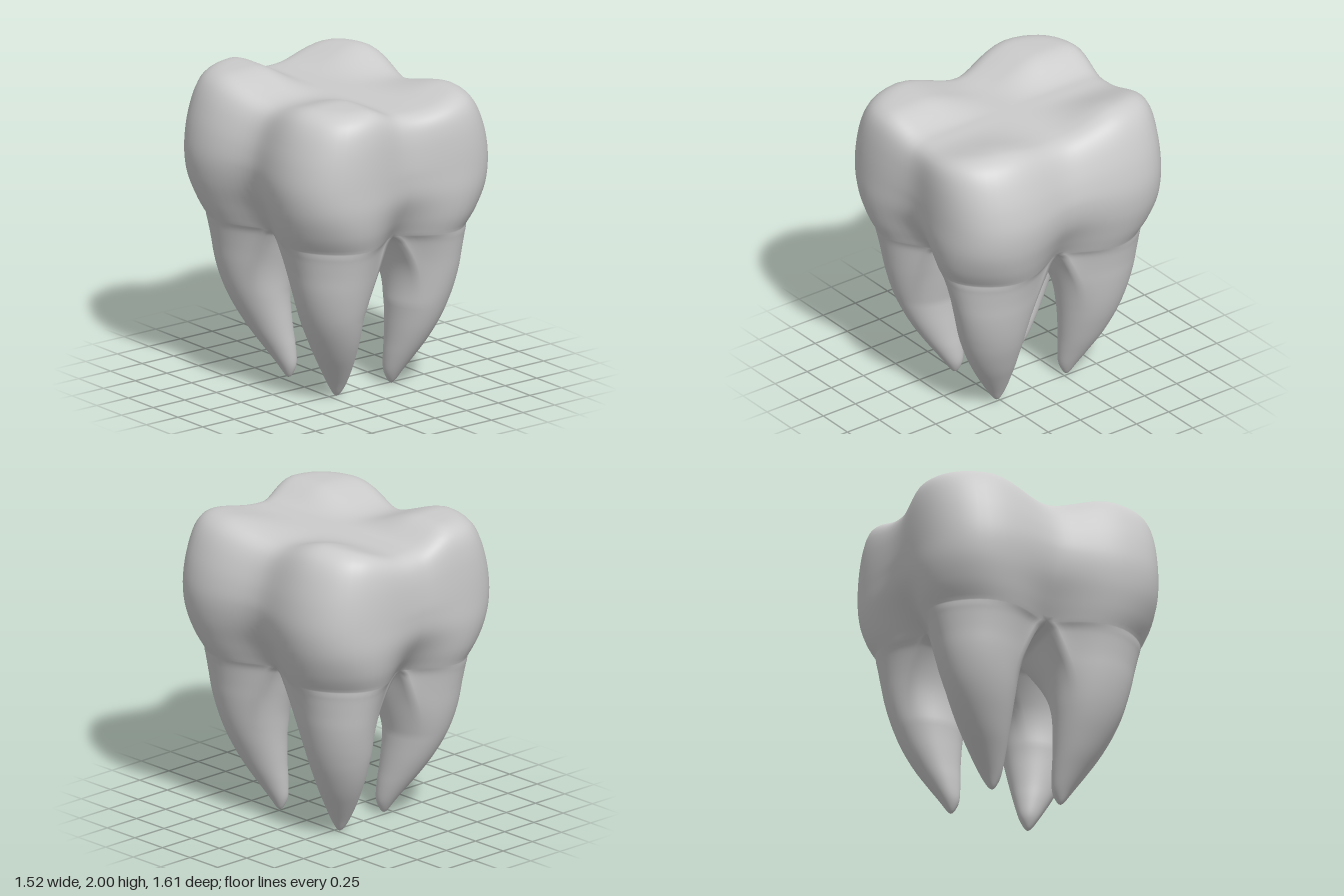
import * as THREE from 'three';
import { mergeVertices } from 'three/addons/utils/BufferGeometryUtils.js';

const K = 24; // columns per quarter of the crown
const curve = (pts) =>
  new THREE.CatmullRomCurve3(pts.map((p) => new THREE.Vector3(...p)), false, 'catmullrom', 0.5);
const smooth = THREE.MathUtils.smoothstep;
const lerp = THREE.MathUtils.lerp;

// Crown, from the middle of the chewing surface down to the fork: [x extent, y, z extent, fork blend]
const CROWN = [
  [0, 2, 0, 0], [0.16, 2, 0.2, 0], [0.32, 2, 0.4, 0], [0.45, 2, 0.57, 0],
  [0.54, 1.992, 0.67, 0], [0.605, 1.96, 0.73, 0], [0.655, 1.9, 0.767, 0], [0.7, 1.8, 0.788, 0],
  [0.74, 1.66, 0.798, 0], [0.76, 1.5, 0.8, 0.02], [0.745, 1.35, 0.797, 0.17],
  [0.705, 1.2, 0.775, 0.6], [0.665, 1.08, 0.742, 1],
];
// Root, from the fork to the tip: [outer x, y, outer z, inner x, inner z, crown blend]
const ROOT = [
  [0.665, 1.08, 0.742, 0, 0, 1], [0.652, 1.045, 0.731, 0.036, 0.036, 0.96],
  [0.638, 1.0, 0.717, 0.056, 0.054, 0.86], [0.613, 0.9, 0.69, 0.085, 0.082, 0.58],
  [0.592, 0.8, 0.665, 0.11, 0.11, 0.32], [0.567, 0.7, 0.638, 0.128, 0.133, 0.14],
  [0.537, 0.6, 0.608, 0.14, 0.15, 0.04], [0.5, 0.5, 0.572, 0.147, 0.164, 0],
  [0.455, 0.4, 0.528, 0.15, 0.175, 0], [0.405, 0.3, 0.474, 0.152, 0.185, 0],
  [0.347, 0.2, 0.411, 0.153, 0.193, 0], [0.282, 0.09, 0.337, 0.163, 0.207, 0],
  [0.24, 0.02, 0.288, 0.193, 0.238, 0], [0.218, 0, 0.262, 0.218, 0.262, 0],
];
const crownSize = curve(CROWN.map((r) => [r[0], r[1], r[2]]));
const crownBlend = curve(CROWN.map((r) => [r[3], 0, 0]));
const rootOuter = curve(ROOT.map((r) => [r[0], r[1], r[2]]));
const rootInner = curve(ROOT.map((r) => [r[3], r[5], r[4]]));

// Unit quarter of the outline, pinched at its sides: boxy on the crown (e = 0), rounder at the fork (e = 1)
function quarter(t, e, sx, sz) {
  const a = (t * Math.PI) / 2, c = Math.cos(a), s = Math.sin(a);
  const n = lerp(4, 2.6, e);
  const side = t < 0.5 ? (sx < 0 ? 0.13 : 0.11) : sz < 0 ? 0.035 : 0.085;
  const pinch = 1 - lerp(side, 0.28, e) * Math.cos(2 * a) ** 4;
  const r = (lerp(1.03, 1.08, e) * pinch) / (c ** n + Math.abs(s) ** n) ** (1 / n);
  return [t === 1 ? 0 : c * r, s * r];
}

// Height of the chewing surface: four cusps parted by a cross-shaped groove
function cuspHeight(x, z, sx, sz) {
  const across = sx < 0 ? smooth(-x, 0.01, 0.29) : smooth(x, 0.08, 0.53);
  const top = sz < 0 ? 2.0 : sx < 0 ? 1.983 : 1.96;
  return 1.89 + (top - 1.89) * across * smooth(Math.abs(z), 0, 0.45);
}

function crownPoint(u, t, sx, sz) {
  const size = crownSize.getPoint(u);
  const q = quarter(t, THREE.MathUtils.clamp(crownBlend.getPoint(u).x, 0, 1), sx, sz);
  const x = sx * size.x * q[0], z = sz * size.z * q[1];
  let y = size.y;
  if (y > 1.5) y = 1.5 + ((y - 1.5) * (cuspHeight(x, z, sx, sz) - 1.5)) / 0.5;
  return [x, y, z];
}

// t runs 0..1 along the outside of the root and 1..2 back along its inside
function rootPoint(u, t, sx, sz) {
  const o = rootOuter.getPoint(u), i = rootInner.getPoint(u);
  const w = THREE.MathUtils.clamp(i.y, 0, 1);
  const phi = -Math.PI / 4 + Math.PI * t;
  const round = [0.5 + 0.5 * Math.cos(phi), 0.5 + 0.5 * Math.sin(phi)];
  const mid = quarter(0, 1, sx, sz)[0];
  let q, y = o.y;
  if (t <= 1) q = quarter(t, 1, sx, sz);
  else {
    q = t < 1.5 ? [0, mid * (3 - 2 * t)] : [mid * (2 * t - 3), 0];
    y -= 0.055 * w * Math.sin((t - 1) * Math.PI);
  }
  // The arch between the roots sits a little to the left
  const arch = Math.sin(Math.PI * THREE.MathUtils.clamp((1.08 - o.y) / 0.5, 0, 1));
  const ix = i.x + sx * 0.025 * arch;
  const px = lerp(ix, o.x, lerp(round[0], q[0], w));
  const pz = lerp(i.z, o.z, lerp(round[1], q[1], w));
  // Tips lean left, and the right back root curls inwards
  const low = smooth(0.8 - o.y, 0, 0.8);
  const curl = sz > 0 ? 0 : sx < 0 ? -0.042 : 0.018;
  return [sx * px + 0.015 * low, y, sz * (pz + curl * low)];
}

// Adds a grid of faces for one quarter, mirrored by the signs
function addGrid(out, point, rows, cols, tMax, sx, sz) {
  const base = out.pos.length / 3;
  for (let j = 0; j <= rows; j++)
    for (let i = 0; i <= cols; i++) {
      const t = (i / cols) * tMax;
      out.pos.push(...point(j / rows, t === 2 ? 0 : t, sx, sz));
    }
  for (let j = 0; j < rows; j++)
    for (let i = 0; i < cols; i++) {
      const a = base + j * (cols + 1) + i, b = a + cols + 1;
      if (sx * sz > 0) out.idx.push(a, a + 1, b, b, a + 1, b + 1);
      else out.idx.push(a, b, a + 1, b, b + 1, a + 1);
    }
}

export function createModel() {
  const out = { pos: [], idx: [] };
  for (const sx of [1, -1])
    for (const sz of [1, -1]) {
      addGrid(out, crownPoint, 60, K, 1, sx, sz);
      addGrid(out, rootPoint, 52, 2 * K, 2, sx, sz);
    }
  let geo = new THREE.BufferGeometry();
  geo.setAttribute('position', new THREE.Float32BufferAttribute(out.pos, 3));
  geo.setIndex(out.idx);
  geo = mergeVertices(geo, 1e-4); // weld crown and roots into one smooth skin
  geo.computeVertexNormals();

  const tooth = new THREE.Mesh(geo, new THREE.MeshStandardMaterial({ color: 0xcccccc }));
  tooth.name = 'molarTooth';
  const group = new THREE.Group();
  group.name = 'molar';
  group.add(tooth);
  return group;
}
